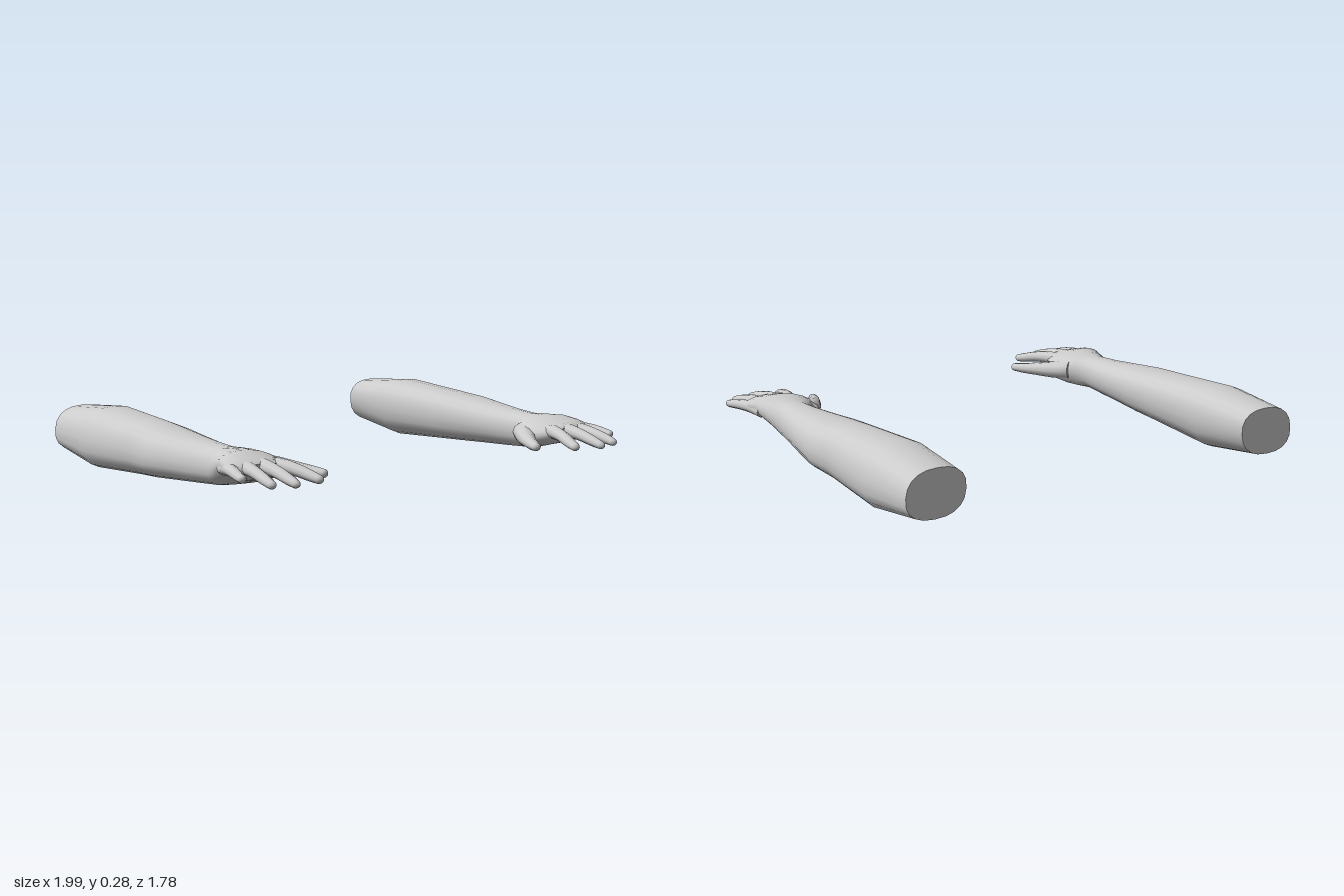
import * as THREE from 'three';

const material = new THREE.MeshStandardMaterial({ color: 0xcccccc });

// Skin a list of closed rings (arrays of Vector3) and close both ends with flat caps.
function skin(rings, mirror) {
  const n = rings[0].length;
  const pos = [], index = [];
  const push = (p) => pos.push(p.x * mirror, p.y, p.z);
  const tri = (a, b, c) => (mirror > 0 ? index.push(a, b, c) : index.push(a, c, b));
  rings.forEach((r) => r.forEach(push));
  for (let i = 0; i < rings.length - 1; i++) {
    for (let j = 0; j < n; j++) {
      const a = i * n + j, b = i * n + (j + 1) % n;
      tri(a, b, b + n);
      tri(a, b + n, a + n);
    }
  }
  [rings[0], rings[rings.length - 1]].forEach((r, end) => {
    const start = pos.length / 3;
    r.forEach(push);
    for (let j = 1; j < n - 1; j++) {
      if (end) tri(start, start + j, start + j + 1);
      else tri(start, start + j + 1, start + j);
    }
  });
  const g = new THREE.BufferGeometry();
  g.setAttribute('position', new THREE.Float32BufferAttribute(pos, 3));
  g.setIndex(index);
  g.computeVertexNormals();
  return g;
}

// Superellipse ring spanned by side and up vectors.
function ring(center, side, up, w, h, n, power = 2) {
  const pts = [];
  for (let j = 0; j < n; j++) {
    const a = (j / n) * Math.PI * 2, c = Math.cos(a), s = Math.sin(a);
    const u = Math.sign(c) * Math.abs(c) ** (2 / power) * w;
    const v = Math.sign(s) * Math.abs(s) ** (2 / power) * h;
    pts.push(center.clone().addScaledVector(side, u).addScaledVector(up, v));
  }
  return pts;
}

// Forearm and palm stations: z, x min, x max, y min, y max, sideways tilt, squareness
const ARM = [
  [-0.89, 0.70, 0.975, 0.04, 0.25, 0, 2.4],
  [-0.58, 0.68, 0.995, 0.00, 0.28, 0, 2.4],
  [-0.20, 0.70, 0.975, 0.025, 0.262, 0, 2.4],
  [-0.05, 0.70, 0.985, 0.035, 0.252, 0, 2.4],
  [0.10, 0.715, 0.96, 0.045, 0.241, 0, 2.3],
  [0.25, 0.73, 0.93, 0.055, 0.23, 0, 2.3],
  [0.38, 0.74, 0.91, 0.065, 0.225, 0, 2.3],
  [0.42, 0.705, 0.92, 0.071, 0.228, 0.05, 2.2],
  [0.47, 0.668, 0.933, 0.081, 0.23, 0.1, 2.1],
  [0.53, 0.645, 0.95, 0.098, 0.23, 0.13, 2],
  [0.575, 0.66, 0.963, 0.11, 0.222, 0.1, 2],
  [0.615, 0.695, 0.962, 0.12, 0.213, 0.05, 2.2],
  [0.645, 0.715, 0.925, 0.13, 0.207, 0, 2.3],
  [0.662, 0.735, 0.90, 0.148, 0.195, 0, 2.3],
];

// Finger paths: [x, y, z, radius] from inside the palm to the tip
const DIGITS = {
  thumb: [[0.72, 0.155, 0.45, 0.05], [0.665, 0.148, 0.53, 0.045],
    [0.615, 0.142, 0.61, 0.033], [0.58, 0.137, 0.68, 0.026], [0.56, 0.135, 0.73, 0.019]],
  indexFinger: [[0.765, 0.17, 0.56, 0.036], [0.735, 0.177, 0.64, 0.034],
    [0.71, 0.168, 0.73, 0.029], [0.688, 0.152, 0.80, 0.026], [0.673, 0.139, 0.863, 0.019]],
  middleFinger: [[0.805, 0.17, 0.56, 0.037], [0.807, 0.18, 0.64, 0.035],
    [0.806, 0.17, 0.74, 0.029], [0.805, 0.153, 0.82, 0.026], [0.805, 0.138, 0.89, 0.018]],
  ringFinger: [[0.865, 0.17, 0.56, 0.036], [0.88, 0.178, 0.63, 0.033],
    [0.89, 0.17, 0.72, 0.028], [0.897, 0.154, 0.80, 0.025], [0.901, 0.14, 0.863, 0.018]],
  littleFinger: [[0.915, 0.165, 0.52, 0.034], [0.94, 0.173, 0.6, 0.03],
    [0.96, 0.17, 0.67, 0.025], [0.97, 0.163, 0.72, 0.022], [0.977, 0.158, 0.76, 0.017]],
};

function armGeometry(mirror) {
  const rings = ARM.map(([z, x0, x1, y0, y1, tilt, power]) => {
    const center = new THREE.Vector3((x0 + x1) / 2, (y0 + y1) / 2, z);
    const side = new THREE.Vector3(1, tilt, 0);
    // the underside leans slightly outward along the forearm
    const up = new THREE.Vector3(z < 0.4 ? -0.08 : 0, 1, 0);
    return ring(center, side, up, (x1 - x0) / 2, (y1 - y0) / 2, 20, power);
  });
  return skin(rings, mirror);
}

function digitGeometry(path, mirror) {
  const curve = new THREE.CatmullRomCurve3(path.map(([x, y, z]) => new THREE.Vector3(x, y, z)));
  const last = path.length - 1, rings = [];
  const addRing = (t, radius) => {
    const dir = curve.getTangent(t);
    const side = new THREE.Vector3(0, 1, 0).cross(dir).normalize();
    const up = dir.clone().cross(side);
    rings.push(ring(curve.getPoint(t), side, up, radius, radius * 0.88, 10));
  };
  const steps = 8, tipStart = 0.93;
  for (let i = 0; i <= steps; i++) {
    const t = (i / steps) * tipStart;
    const k = Math.min(Math.floor(t * last), last - 1);
    addRing(t, THREE.MathUtils.lerp(path[k][3], path[k + 1][3], t * last - k));
  }
  // rounded fingertip
  const tip = path[last][3];
  for (const f of [0.4, 0.75, 0.93, 1]) {
    addRing(tipStart + (1 - tipStart) * f, tip * 1.08 * Math.max(Math.sqrt(1 - f * f), 0.2));
  }
  return skin(rings, mirror);
}

function buildArm(name, mirror) {
  const arm = new THREE.Group();
  arm.name = name;
  const add = (part, geometry) => {
    const mesh = new THREE.Mesh(geometry, material);
    mesh.name = part;
    arm.add(mesh);
  };
  add('forearmAndPalm', armGeometry(mirror));
  for (const [part, path] of Object.entries(DIGITS)) add(part, digitGeometry(path, mirror));
  return arm;
}

export function createModel() {
  const model = new THREE.Group();
  model.name = 'pairOfArms';
  model.add(buildArm('leftArm', 1), buildArm('rightArm', -1));
  return model;
}
